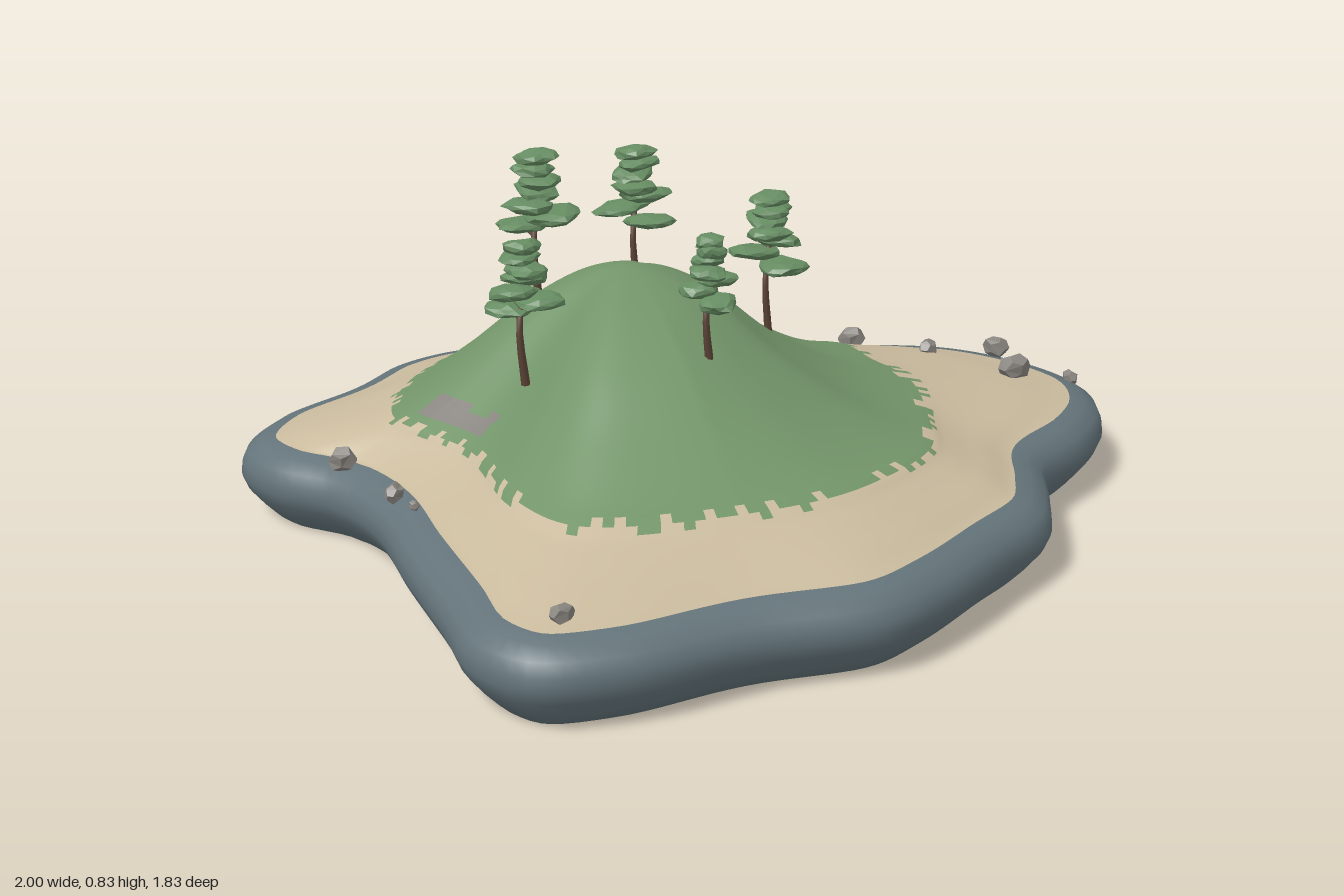
import * as THREE from 'three';

const mat = (name, color, extra = {}) => Object.assign(new THREE.MeshStandardMaterial({ color, ...extra }), { name });

// Seeded random numbers
function seeded(seed) {
  let s = seed;
  return () => {
    s = (s * 16807) % 2147483647;
    return s / 2147483647;
  };
}

const PEAK = [-0.17, -0.11];
const SHORE = [
  [1, -.1], [.95, -.3], [.83, -.47], [.68, -.56], [.51, -.605], [.36, -.645], [.27, -.75], [.165, -.865],
  [0, -.917], [-.19, -.91], [-.4, -.915], [-.56, -.85], [-.7, -.715], [-.905, -.57], [-1, -.4], [-.96, -.25],
  [-.85, -.115], [-.8, .055], [-.795, .3], [-.785, .565], [-.78, .75], [-.7, .875], [-.53, .91], [-.26, .88],
  [.005, .89], [.165, .82], [.35, .7], [.51, .59], [.59, .455], [.66, .32], [.83, .2], [.95, .065]];
const MEADOW = [
  [.49, -.05], [.47, -.21], [.45, -.35], [.3, -.42], [.19, -.5], [.11, -.63], [-.02, -.665], [-.34, -.66],
  [-.48, -.57], [-.62, -.4], [-.69, -.2], [-.59, .06], [-.58, .35], [-.51, .53], [-.32, .59], [0, .58],
  [.17, .51], [.33, .39], [.41, .22]];

// Samples a closed outline at n even angles around the peak
function polarRing(points, n) {
  const curve = new THREE.CatmullRomCurve3(points.map(([x, z]) => new THREE.Vector3(x - PEAK[0], 0, z - PEAK[1])), true);
  const polar = curve.getPoints(800).map(p => [Math.atan2(p.z, p.x), Math.hypot(p.x, p.z)]).sort((a, b) => a[0] - b[0]);
  const ring = [];
  for (let j = 0, k = 0; j < n; j++) {
    const a = -Math.PI + (j / n) * 2 * Math.PI;
    while (k < polar.length - 1 && polar[k][0] < a) k++;
    const [a1, r1] = polar[k], [a0, r0] = polar[Math.max(0, k - 1)];
    const r = a1 > a0 ? THREE.MathUtils.lerp(r0, r1, THREE.MathUtils.clamp((a - a0) / (a1 - a0), 0, 1)) : r1;
    ring.push([PEAK[0] + r * Math.cos(a), PEAK[1] + r * Math.sin(a)]);
  }
  return ring;
}

// Hill, beach and rock skirt as one smooth loft of rings
function makeIsland(materials) {
  const n = 200, grassRings = 28, sandRings = 14, rnd = seeded(11);
  const shore = polarRing(SHORE, n), meadow = polarRing(MEADOW, n);
  const inset = (j, d) => {
    const p = shore[(j + n - 2) % n], q = shore[(j + 2) % n];
    const tx = q[0] - p[0], tz = q[1] - p[1], l = Math.hypot(tx, tz);
    return [shore[j][0] - d * tz / l, shore[j][1] + d * tx / l];
  };
  const spline = ys => new THREE.SplineCurve(ys.map((y, i) => new THREE.Vector2(i, y)));
  const broad = spline([.54, .575, .54, .455, .345, .255, .222, .197, .175]);
  const east = spline([.53, .575, .522, .39, .298, .25, .222, .2, .175]);
  const mix = THREE.MathUtils.lerp;
  const rings = [];
  for (let i = 0; i <= grassRings + sandRings; i++) {
    const g = Math.min(1, i / grassRings), s = Math.max(0, (i - grassRings) / sandRings);
    const u = (1 + 4 * g + 3 * s) / 8;
    rings.push(meadow.map((m, j) => {
      const edge = inset(j, .08);
      const w = Math.max(0, -Math.cos((j / n) * 2 * Math.PI));
      const x = s ? mix(m[0], edge[0], s) : mix(PEAK[0], m[0], g);
      const z = s ? mix(m[1], edge[1], s) : mix(PEAK[1], m[1], g);
      return [x, mix(broad.getPoint(u).y, east.getPoint(u).y, w), z];
    }));
  }
  const skirtStart = rings.length - 1;
  for (const [d, y] of [[.045, .168], [.015, .148], [.003, .122], [0, .095], [.012, .065], [.04, .03], [.068, 0]]) {
    rings.push(shore.map((_, j) => { const [x, z] = inset(j, d); return [x, y, z]; }));
  }
  const rim = rings[rings.length - 1];
  for (const k of [.8, .4, 0]) {
    rings.push(rim.map(([x, , z]) => [mix(PEAK[0], x, k), 0, mix(PEAK[1], z, k)]));
  }

  const last = rings.length - 1;
  const id = (i, j) => i * n + (i === 0 || i === last ? 0 : j % n);
  const faces = [[], [], [], []]; // grass, sand, skirt, crag
  const ragged = Array.from({ length: n }, () => Math.round(rnd() * 2 - 1));
  for (let i = 0; i < last; i++) {
    for (let j = 0; j < n; j++) {
      const [x, , z] = rings[i][j];
      const along = (z + .14) / .18;
      const crag = along > 0 && along < 1 && Math.abs(x - (-.605 + .075 * along)) < .022;
      const kind = i >= skirtStart ? 2 : crag ? 3 : i >= grassRings + ragged[j] ? 1 : 0;
      const a = id(i, j), b = id(i, j + 1), c = id(i + 1, j), d = id(i + 1, j + 1);
      if (i > 0) faces[kind].push(a, b, c);
      else faces[kind].push(a, d, c);
      if (i > 0 && i < last - 1) faces[kind].push(b, d, c);
    }
  }
  const geo = new THREE.BufferGeometry();
  geo.setAttribute('position', new THREE.Float32BufferAttribute(rings.flat(2), 3));
  geo.setIndex(faces.flat());
  let start = 0;
  faces.forEach((f, k) => { geo.addGroup(start, f.length, k); start += f.length; });
  geo.computeVertexNormals();
  const mesh = new THREE.Mesh(geo, materials);
  mesh.name = 'island';
  return mesh;
}

// Low-poly lump; equal corners move together so it stays closed
function lump(geo, amount, seed) {
  const p = geo.attributes.position, v = new THREE.Vector3();
  for (let i = 0; i < p.count; i++) {
    v.fromBufferAttribute(p, i);
    const h = Math.sin(Math.round(v.x * 50) * 1.7 + Math.round(v.y * 50) * 2.3 + Math.round(v.z * 50) * 3.1 + seed * 5.3);
    v.multiplyScalar(1 + amount * h);
    p.setXYZ(i, v.x, v.y, v.z);
  }
  geo.computeVertexNormals();
  return geo;
}

// Tree with a slightly bent trunk and stacked flat foliage pads
function makeTree(x, y, z, height, radius, seed, bark, leaf) {
  const tree = new THREE.Group(), rnd = seeded(seed * 977 + 5);
  tree.name = 'tree';
  tree.position.set(x, y, z);
  const bend = (rnd() - .5) * .03;
  const path = new THREE.CatmullRomCurve3([[0, -.03, 0], [bend, height * .35, -bend], [-bend * .5, height * .7, bend], [0, height * .95, 0]]
    .map(p => new THREE.Vector3(...p)));
  const trunkGeo = new THREE.TubeGeometry(path, 8, .009, 6);
  const pos = trunkGeo.attributes.position;
  for (let i = 0; i < pos.count; i++) { // taper towards the top
    const t = Math.floor(i / 7) / 8, c = path.getPointAt(t), k = 1.1 - .7 * t;
    pos.setX(i, c.x + (pos.getX(i) - c.x) * k);
    pos.setZ(i, c.z + (pos.getZ(i) - c.z) * k);
  }
  const trunk = new THREE.Mesh(trunkGeo, bark);
  trunk.name = 'trunk';
  tree.add(trunk);

  const pads = 7, turn = rnd() * 6;
  for (let i = 0; i < pads; i++) {
    const t = i / (pads - 1), a = turn + i * 2.4;
    const size = radius * (.66 - .2 * t), off = radius * .42 * (1 - t);
    const pad = new THREE.Mesh(lump(new THREE.IcosahedronGeometry(1, 1), .13, seed + i), leaf);
    pad.name = 'foliagePad';
    pad.scale.set(size, .017, size * .9);
    pad.rotation.set((rnd() - .5) * .25, a, (rnd() - .5) * .25);
    pad.position.set(Math.cos(a) * off, height * (.46 + .49 * t), Math.sin(a) * off);
    tree.add(pad);
    if (t < .7) {
      const from = path.getPoint(.38 + .45 * t);
      const branch = new THREE.Mesh(new THREE.TubeGeometry(new THREE.LineCurve3(from, pad.position.clone()), 1, .003, 5), bark);
      branch.name = 'branch';
      tree.add(branch);
    }
  }
  return tree;
}

export function createModel() {
  const grass = mat('grass green', 0x73956a), sand = mat('beach sand', 0xcabb9e);
  const skirt = mat('slate rock', 0x64747a), stone = mat('boulder grey', 0x88847f, { flatShading: true });
  const crag = stone;
  const bark = mat('bark brown', 0x5f4638), leaf = mat('foliage green', 0x668c62, { flatShading: true });

  const model = new THREE.Group();
  model.name = 'islandWithTrees';
  model.add(makeIsland([grass, sand, skirt, crag]));

  // Trees: x, base y, z, height, crown radius
  [[-.04, .44, -.435, .325, .105], [-.345, .5, -.22, .325, .1], [.2, .375, -.2, .31, .098],
    [-.465, .42, .07, .285, .092], [-.105, .46, .215, .255, .07]]
    .forEach((t, i) => model.add(makeTree(...t, i + 1, bark, leaf)));

  // Boulders on the beach: x, y, z, width
  [[-.13, .19, -.82, .048], [.31, .205, -.575, .06], [.55, .205, -.495, .076], [.69, .21, -.345, .056],
    [.855, .21, -.295, .064], [.81, .215, -.12, .076], [.96, .172, -.11, .045], [-.82, .195, -.14, .066],
    [-.755, .185, .065, .052], [-.735, .19, .16, .026], [-.61, .193, .775, .05]]
    .forEach(([x, y, z, w], i) => {
      const rock = new THREE.Mesh(lump(new THREE.DodecahedronGeometry(.52), .1, i), stone);
      rock.name = 'boulder';
      rock.scale.set(w, w * .85, w * .8);
      rock.rotation.y = i * 1.3;
      rock.position.set(x, y, z);
      model.add(rock);
    });
  return model;
}
